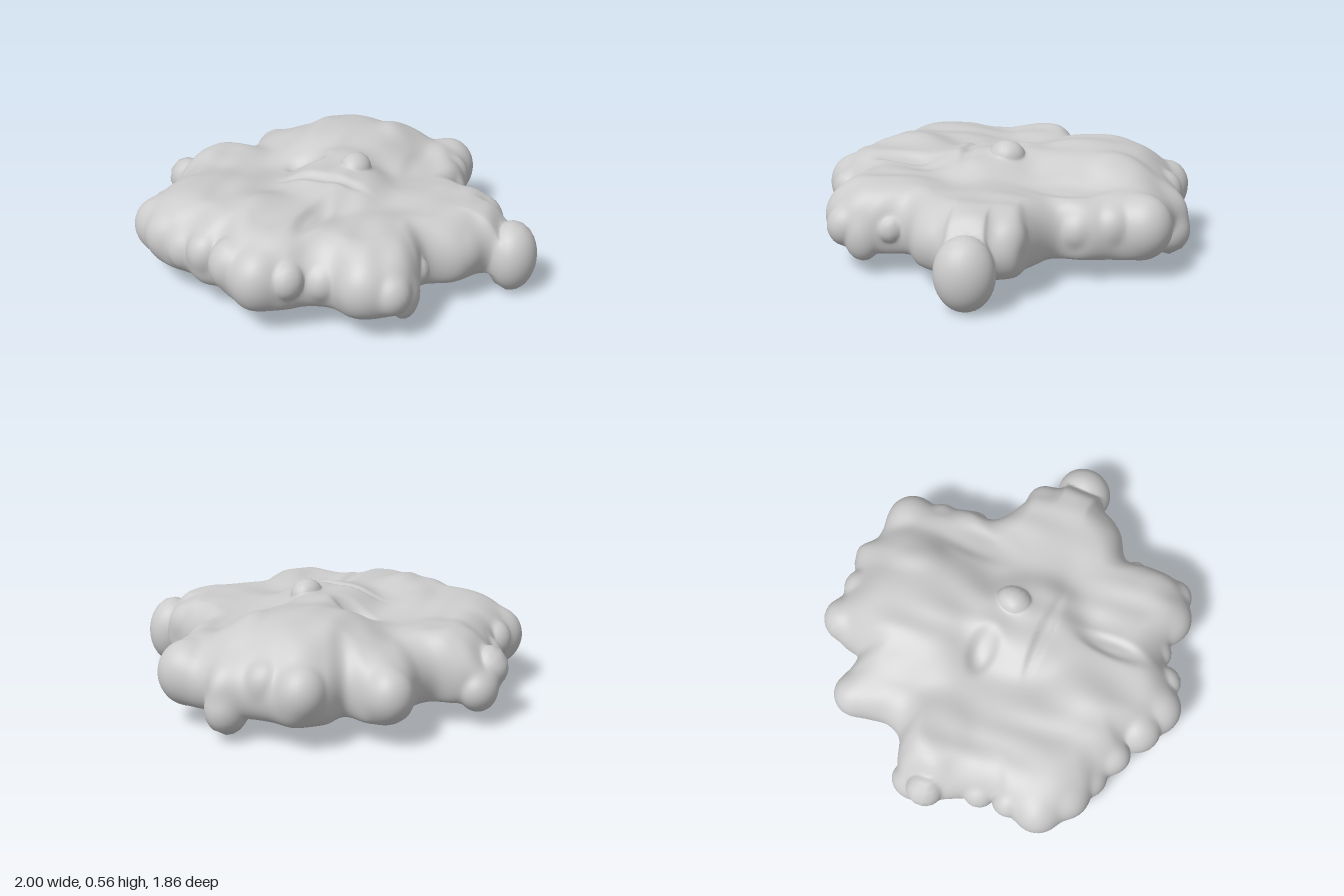
import * as THREE from 'three';

// Lobed outline seen from above, as x, z pairs
const OUTLINE = [
  0.95, 0.01, 0.91, 0.09, 0.81, 0.13, 0.72, 0.27, 0.58, 0.37, 0.59, 0.52, 0.58, 0.64, 0.50, 0.74,
  0.38, 0.78, 0.25, 0.74, 0.14, 0.77, 0.05, 0.85, -0.08, 0.91, -0.22, 0.85, -0.33, 0.77,
  -0.42, 0.77, -0.53, 0.70, -0.66, 0.68, -0.79, 0.60, -0.86, 0.50, -0.86, 0.37, -0.83, 0.28,
  -0.86, 0.16, -0.91, 0.06, -0.97, -0.06, -0.94, -0.17, -0.85, -0.23, -0.74, -0.28, -0.70, -0.37,
  -0.72, -0.54, -0.68, -0.64, -0.59, -0.66, -0.46, -0.65, -0.42, -0.77, -0.32, -0.88, -0.18, -0.87,
  -0.05, -0.88, 0.06, -0.92, 0.15, -0.86, 0.30, -0.85, 0.41, -0.78, 0.45, -0.62, 0.49, -0.50,
  0.50, -0.35, 0.65, -0.25, 0.77, -0.21, 0.84, -0.10, 0.92, -0.07,
];

// Flat-topped swells and hollows of the upper surface: x, z, width x, width z, height
const SWELLS = [
  [0.0, 0.07, 0.24, 0.25, 0.10], [-0.14, -0.43, 0.32, 0.32, 0.115], [-0.50, 0.42, 0.36, 0.32, 0.045],
  [-0.10, 0.55, 0.25, 0.26, 0.055], [0.38, 0.50, 0.24, 0.28, 0.03], [0.55, 0.03, 0.25, 0.20, 0.02],
  [-0.70, -0.10, 0.20, 0.16, 0.03], [0.12, -0.62, 0.12, 0.16, 0.03], [-0.02, 0.17, 0.20, 0.03, -0.02],
  [0.06, 0.50, 0.05, 0.16, -0.025], [0.30, -0.36, 0.08, 0.20, -0.02], [-0.22, -0.07, 0.10, 0.06, -0.03],
  [0.98, 0.0, 0.17, 0.25, -0.15], [-1.0, -0.10, 0.14, 0.20, -0.08],
];

// Large hanging knobs and the crown bud: x, y, z, radius x, radius y, radius z
const BIG_KNOBS = [
  [0.88, 0.175, 0.0, 0.12, 0.175, 0.14], [0.05, 0.15, -0.82, 0.10, 0.125, 0.115],
  [-0.89, 0.17, -0.13, 0.09, 0.105, 0.11], [0.54, 0.19, 0.57, 0.07, 0.12, 0.09],
  [0.06, 0.48, -0.03, 0.075, 0.08, 0.09],
];

// Smaller bumps along the rim: x, z, radius, height of centre
const BUMPS = [
  [0.32, -0.73, 0.135, 0.25], [0.38, -0.59, 0.09, 0.27], [-0.63, -0.57, 0.11, 0.24],
  [-0.31, -0.79, 0.11, 0.27], [-0.13, -0.79, 0.09, 0.29], [-0.91, -0.05, 0.09, 0.26],
  [-0.08, 0.80, 0.125, 0.26], [-0.22, 0.76, 0.115, 0.28], [0.06, 0.79, 0.08, 0.27],
  [0.38, 0.67, 0.125, 0.24], [0.51, 0.66, 0.09, 0.23], [-0.39, 0.70, 0.09, 0.28],
  [-0.53, 0.63, 0.10, 0.24], [-0.66, 0.58, 0.11, 0.26], [-0.77, 0.48, 0.12, 0.25],
  [-0.80, 0.34, 0.08, 0.27], [-0.81, 0.19, 0.08, 0.23], [0.69, -0.15, 0.09, 0.28],
  [0.67, 0.16, 0.10, 0.24], [0.43, -0.43, 0.08, 0.25], [0.55, 0.43, 0.06, 0.24],
  [0.19, 0.69, 0.08, 0.24],
];
const KNOBS = [...BIG_KNOBS, ...BUMPS.map(([x, z, r, y]) => [x, y, z, r, r * 1.12, r])];

const swell = (x, z, [cx, cz, wx, wz, h]) => {
  const q = ((x - cx) / wx) ** 2 + ((z - cz) / wz) ** 2;
  return h * Math.exp(-q * q);
};

// Small irregular ripples
const ripple = (x, z) =>
  0.005 * Math.sin(13 * x + 3 * Math.sin(5 * z)) * Math.cos(11 * z + 2 * Math.sin(7 * x)) +
  0.004 * Math.sin(23 * x + 9 * z + 2 * Math.sin(9 * x - 6 * z));

const topHeight = (x, z) =>
  SWELLS.reduce((y, s) => y + swell(x, z, s), 0.405) + ripple(x, z);

// Pushes a point out of every knob with a soft transition, so the knobs swell from one skin
function pushOut(p) {
  const soft = 0.22;
  for (const [cx, cy, cz, rx, ry, rz] of KNOBS) {
    const dx = p.x - cx, dy = p.y - cy, dz = p.z - cz;
    const d = Math.hypot(dx / rx, dy / ry, dz / rz);
    if (d > 1 + soft || d < 0.02) continue;
    const blend = Math.max(soft - Math.abs(d - 1), 0) / soft;
    const k = (Math.max(d, 1) + blend * blend * soft * 0.25) / d;
    p.set(cx + dx * k, cy + dy * k, cz + dz * k);
  }
  return p;
}

// Each ring is [scale of outline, share of height]; runs from under-centre round the rim to the top
function ringProfile() {
  const rings = [];
  for (let i = 0; i <= 24; i++) rings.push([0.001 + 0.93 * (i / 24) ** 0.8, i > 22 ? 0.02 : 0]);
  for (let i = 0; i <= 28; i++) {
    const a = -1.1 + (i / 28) * (1.1 + Math.PI / 2);
    const up = a > 0;
    rings.push([
      up ? 0.76 + 0.24 * Math.cos(a) : 0.9 + 0.1 * Math.cos(a),
      up ? 0.42 + 0.58 * Math.sin(a) : 0.42 + 0.42 * Math.sin(a),
    ]);
  }
  for (let i = 1; i <= 40; i++) rings.push([Math.max(0.76 * (1 - i / 40), 0.001), 1]);
  return rings;
}

function skinGeometry() {
  const pts = [];
  for (let i = 0; i < OUTLINE.length; i += 2) pts.push(new THREE.Vector3(OUTLINE[i], 0, OUTLINE[i + 1]));
  const curve = new THREE.CatmullRomCurve3(pts, true);
  const N = 360, bottom = 0.108, rings = ringProfile();
  const edge = Array.from({ length: N }, (_, j) => curve.getPoint(j / N));
  const pos = [], index = [], p = new THREE.Vector3();
  rings.forEach(([s, f], i) => {
    edge.forEach((e, j) => {
      const x = e.x * s, z = e.z * s;
      const y = bottom + f * (topHeight(x, z) - bottom) + (1 - f) * 0.5 * ripple(x, z);
      pushOut(p.set(x, y, z));
      pos.push(p.x, p.y, p.z);
      if (i === rings.length - 1) return;
      const a = i * N + j, b = i * N + ((j + 1) % N);
      index.push(a, a + N, b, b, a + N, b + N);
    });
  });
  const g = new THREE.BufferGeometry();
  g.setAttribute('position', new THREE.Float32BufferAttribute(pos, 3));
  g.setIndex(index);
  g.computeVertexNormals();
  return g;
}

export function createModel() {
  const model = new THREE.Group();
  model.name = 'lobedMound';
  const skin = new THREE.Mesh(skinGeometry(), new THREE.MeshStandardMaterial({ color: 0xcccccc }));
  skin.name = 'knobblySkin';
  model.add(skin);
  return model;
}
